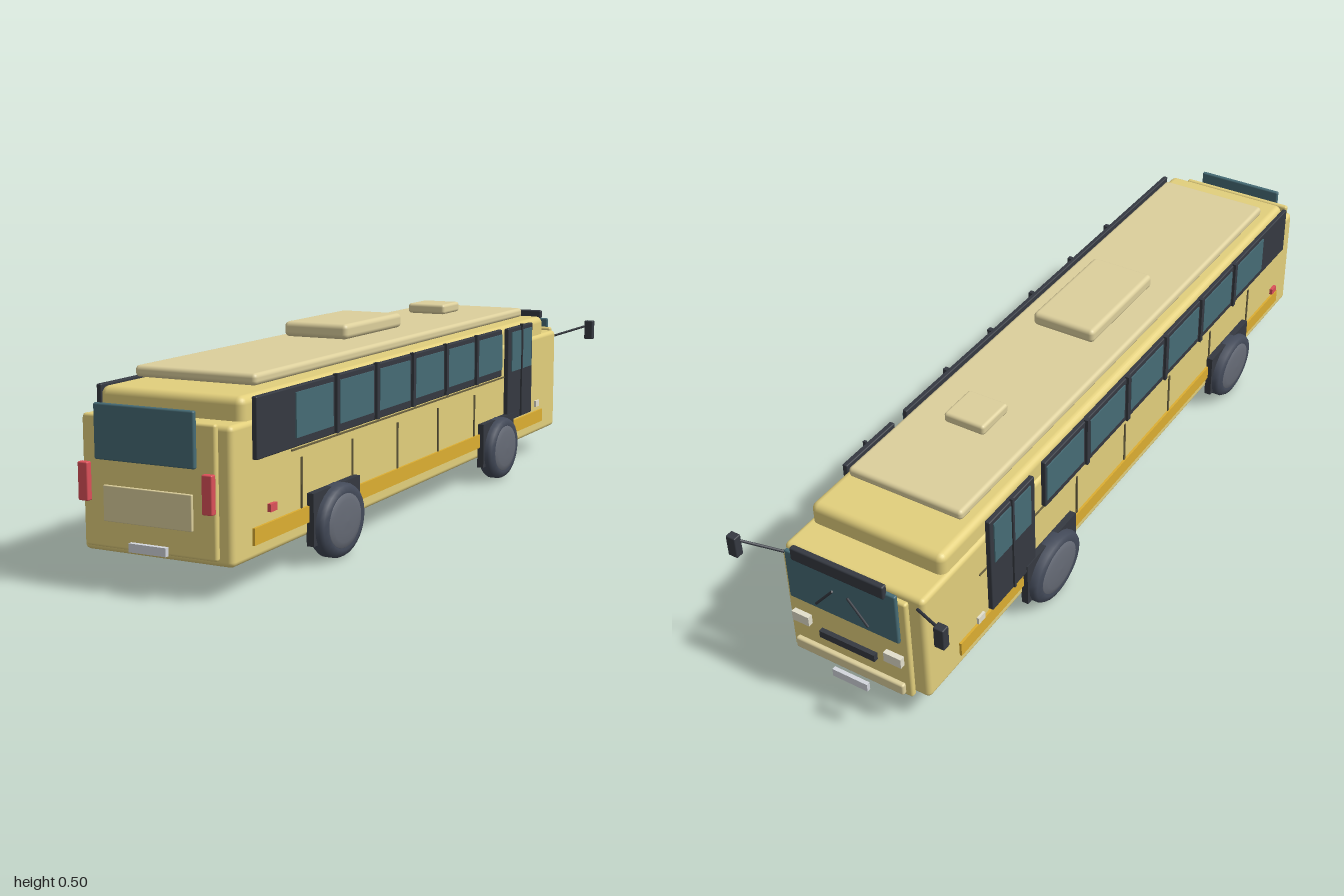
import * as THREE from 'three';
import { RoundedBoxGeometry } from 'three/addons/geometries/RoundedBoxGeometry.js';

const paint = (color) => new THREE.MeshStandardMaterial({ color });
const mats = {
  body: paint(0xe2cf7c), roof: paint(0xdccf9c), glass: paint(0x466b75), dark: paint(0x353941),
  tyre: paint(0x434a59), hub: paint(0x656a75), stripe: paint(0xdcae32), red: paint(0xdb5059),
  plate: paint(0xd3d7dd), lamp: paint(0xe3dfcc), seam: paint(0x6b6240),
};

// Box given by its extents on each axis; r > 0 rounds its edges
function box(parent, name, mat, [x0, x1], [y0, y1], [z0, z1], r = 0) {
  const w = x1 - x0, h = y1 - y0, d = z1 - z0;
  const geo = r ? new RoundedBoxGeometry(w, h, d, 3, r) : new THREE.BoxGeometry(w, h, d);
  const mesh = new THREE.Mesh(geo, mats[mat]);
  mesh.position.set((x0 + x1) / 2, (y0 + y1) / 2, (z0 + z1) / 2);
  mesh.name = name;
  parent.add(mesh);
  return mesh;
}

// Thin round bar between two points
function bar(parent, name, mat, from, to, radius) {
  const a = new THREE.Vector3(...from), b = new THREE.Vector3(...to);
  const mesh = new THREE.Mesh(new THREE.CylinderGeometry(radius, radius, a.distanceTo(b), 8), mats[mat]);
  mesh.position.copy(a).lerp(b, 0.5);
  mesh.quaternion.setFromUnitVectors(new THREE.Vector3(0, 1, 0), b.sub(a).normalize());
  mesh.name = name;
  parent.add(mesh);
}

// Lathed part turned so its axis points out along side s, slightly flattened in height
function turned(parent, name, mat, points, s, z) {
  const geo = new THREE.LatheGeometry(points.map(([r, x]) => new THREE.Vector2(r, x)), 28);
  geo.rotateZ(-s * Math.PI / 2);
  geo.scale(1, 0.085 / 0.105, 1);
  const mesh = new THREE.Mesh(geo, mats[mat]);
  mesh.position.set(0, 0.085, z);
  mesh.name = name;
  parent.add(mesh);
}

export function createModel() {
  const bus = new THREE.Group();
  bus.name = 'bus';

  // Body and roof
  box(bus, 'lowerBody', 'body', [-0.186, 0.186], [0.07, 0.364], [-0.93, 0.957], 0.012);
  box(bus, 'upperBody', 'body', [-0.178, 0.178], [0.3, 0.415], [-0.842, 0.9], 0.018);
  box(bus, 'roofPanel', 'roof', [-0.153, 0.153], [0.423, 0.449], [-0.73, 0.805], 0.01);
  box(bus, 'roofUnit', 'roof', [-0.087, 0.087], [0.458, 0.495], [-0.045, 0.267], 0.012);
  box(bus, 'roofHatch', 'roof', [-0.055, 0.055], [0.457, 0.484], [-0.49, -0.382], 0.008);

  // Tail end
  box(bus, 'tailPanel', 'body', [-0.163, 0.163], [0.087, 0.37], [0.966, 0.981], 0.006);
  box(bus, 'tailWindow', 'glass', [-0.123, 0.123], [0.278, 0.397], [0.986, 0.998], 0.004);
  box(bus, 'engineCover', 'roof', [-0.109, 0.109], [0.146, 0.223], [0.981, 0.989], 0.002);
  box(bus, 'tailPlate', 'plate', [-0.046, 0.046], [0.087, 0.106], [0.981, 0.992]);

  // Driving end
  box(bus, 'nosePanel', 'body', [-0.163, 0.163], [0.09, 0.37], [-0.961, -0.945], 0.006);
  box(bus, 'windscreen', 'glass', [-0.147, 0.147], [0.258, 0.395], [-0.973, -0.962], 0.004);
  box(bus, 'destinationBoard', 'dark', [-0.123, 0.123], [0.383, 0.418], [-0.981, -0.966], 0.004);
  box(bus, 'grille', 'dark', [-0.075, 0.075], [0.167, 0.186], [-0.973, -0.96]);
  box(bus, 'noseBumper', 'roof', [-0.148, 0.148], [0.1, 0.13], [-0.974, -0.96], 0.005);
  box(bus, 'nosePlate', 'plate', [-0.048, 0.048], [0.061, 0.082], [-0.976, -0.966]);

  // Parts repeated on both sides
  for (const s of [1, -1]) {
    const side = new THREE.Group();
    side.name = s > 0 ? 'leftSide' : 'rightSide';
    bus.add(side);
    const span = (a, b) => (s > 0 ? [a, b] : [-b, -a]);
    const add = (name, mat, x, y, z, r) => box(side, name, mat, span(...x), y, z, r);

    // Window band with six panes and posts
    add('windowBand', 'dark', [0.187, 0.2], [0.283, 0.415], [-0.457, 0.88], 0.003);
    for (let i = 0; i < 6; i++) {
      const z = 0.636 - i * 0.201;
      add('windowPane', 'glass', [0.196, 0.203], [0.303, 0.402], [z - 0.084, z + 0.084]);
      if (i) add('windowPost', 'dark', [0.196, 0.207], [0.285, 0.419], [z + 0.094, z + 0.107]);
    }

    // Door with two panes and a centre gap
    add('door', 'dark', [0.187, 0.201], [0.148, 0.412], [-0.692, -0.505], 0.003);
    for (const z of [-0.561, -0.644])
      add('doorPane', 'glass', [0.197, 0.204], [0.288, 0.4], [z - 0.035, z + 0.035]);
    add('doorGap', 'dark', [0.198, 0.206], [0.152, 0.418], [-0.606, -0.599]);

    // Stripe, panel seams and marker lamps
    add('stripe', 'stripe', [0.184, 0.192], [0.102, 0.139], [-0.81, 0.88]);
    add('longSeam', 'seam', [0.184, 0.189], [0.272, 0.276], [-0.72, 0.715]);
    for (let i = 0; i < 5; i++) {
      const z = 0.672 - i * 0.241;
      add('panelSeam', 'seam', [0.184, 0.189], [0.135, 0.253], [z - 0.003, z + 0.003]);
    }
    add('redMarker', 'red', [0.197, 0.206], [0.166, 0.183], [0.81, 0.837]);
    add('paleMarker', 'lamp', [0.197, 0.203], [0.157, 0.175], [-0.753, -0.727]);

    // Wheels: flattened tyre, domed hub and arch plate behind
    for (const z of [0.535, -0.435]) {
      add('wheelArch', 'dark', [0.185, 0.203], [0.047, 0.167], [z - 0.112, z + 0.112]);
      turned(side, 'tyre', 'tyre', [[0, 0.183], [0.099, 0.183], [0.105, 0.19], [0.105, 0.212],
        [0.099, 0.221], [0.083, 0.226], [0.08, 0.222], [0, 0.222]], s, z);
      turned(side, 'hub', 'hub', [[0.078, 0.22], [0.076, 0.224], [0.06, 0.227], [0.035, 0.229], [0, 0.23]], s, z);
    }

    // End lamps, wiper and mirror
    add('tailLamp', 'red', [0.14, 0.165], [0.187, 0.27], [0.984, 1], 0.003);
    add('headlamp', 'lamp', [0.102, 0.148], [0.186, 0.212], [-0.974, -0.96]);
    bar(side, 'wiper', 'dark', [s * 0.07, 0.275, -0.976], [s * 0.02, 0.335, -0.976], 0.003);
    bar(side, 'mirrorArm', 'dark', [s * 0.175, 0.345, -0.935], [s * 0.268, 0.377, -0.985], 0.0035);
    add('mirror', 'dark', [0.261, 0.287], [0.336, 0.392], [-1, -0.979], 0.003);
  }
  return bus;
}
